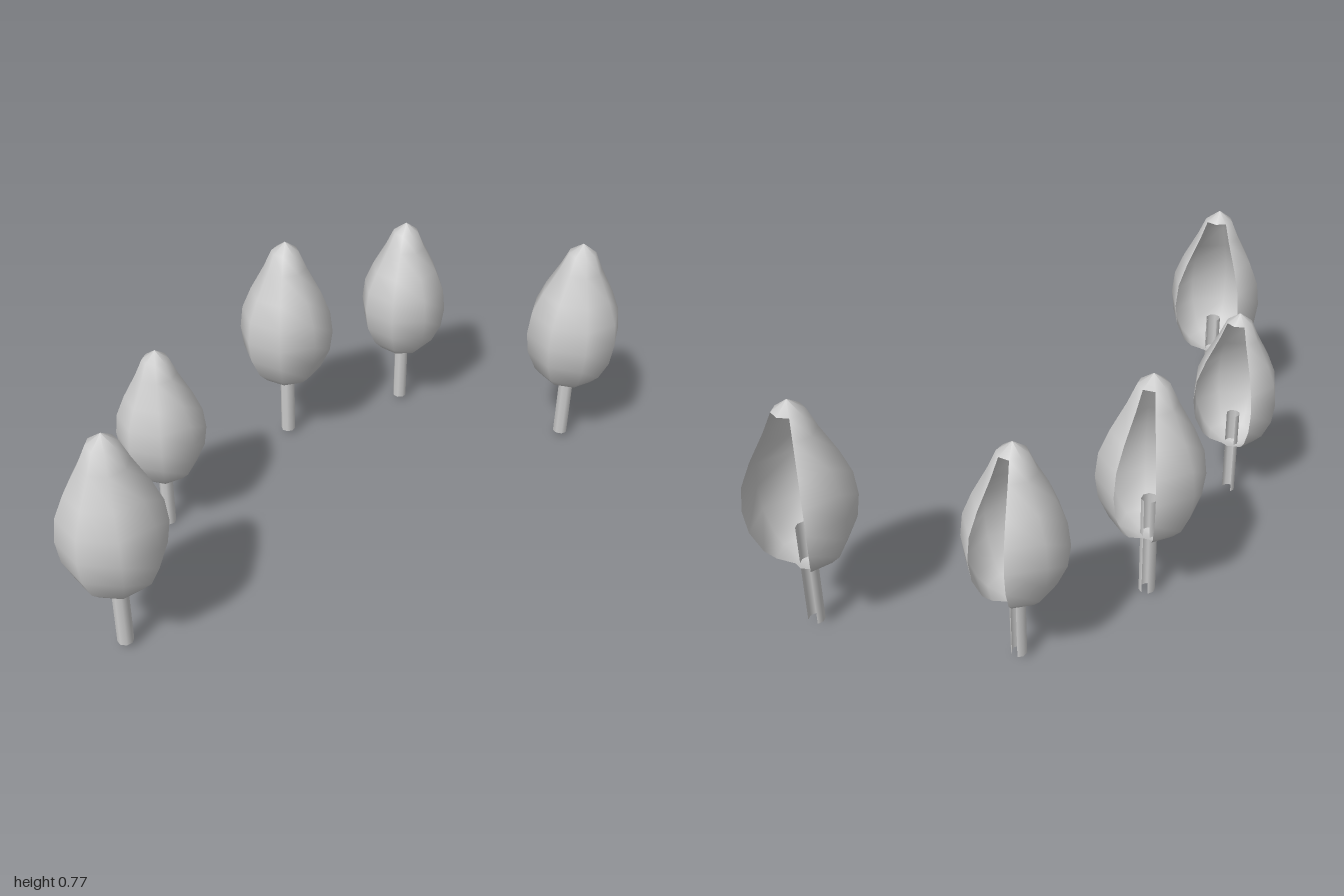
import * as THREE from 'three';

const SIDES = 8;
const STEP = (Math.PI * 2) / SIDES;

// Egg-shaped crown outline [radius, height], from lower pole to tip
const CROWN = [
  [0, 0.208], [0.037, 0.212], [0.087, 0.24], [0.118, 0.272], [0.15, 0.342], [0.16, 0.417],
  [0.151, 0.495], [0.12, 0.57], [0.073, 0.658], [0.046, 0.718], [0, 0.752],
].map(([r, y]) => new THREE.Vector2(r, y));

const material = new THREE.MeshStandardMaterial({ color: 0xcccccc, side: THREE.DoubleSide });

// Eight-sided crown; the last `gap` sides are left out between the two pole caps
function crownGeometry(start, gap) {
  const geo = new THREE.LatheGeometry(CROWN, SIDES, start, Math.PI * 2);
  const rows = CROWN.length - 1;
  const all = Array.from(geo.index.array);
  geo.setIndex(all.filter((_, k) => {
    const quad = Math.floor(k / 6);
    const side = Math.floor(quad / rows), row = quad % rows;
    return side < SIDES - gap || row === 0 || row === rows - 1;
  }));
  return geo;
}

// Hollow trunk, open along the back like the crown, reaching up inside it
function trunkGeometry(start, gap) {
  const sides = SIDES - gap;
  const geo = new THREE.CylinderGeometry(0.025, 0.025, 0.335, sides, 1, true, start, sides * STEP);
  return geo.translate(0, 0.1675, 0);
}

function makeTree({ x, y, z, size, startDeg, gap }) {
  const start = THREE.MathUtils.degToRad(startDeg);
  const tree = new THREE.Group();
  const crown = new THREE.Mesh(crownGeometry(start, gap), material);
  crown.name = 'crown';
  const trunk = new THREE.Mesh(trunkGeometry(start, gap), material);
  trunk.name = 'trunk';
  tree.add(crown, trunk);
  tree.position.set(x, y, z);
  tree.scale.setScalar(size);
  return tree;
}

export function createModel() {
  const model = new THREE.Group();
  model.name = 'treeRow';
  // Position, size, direction of the first side and number of open back sides
  const trees = [
    { x: 0.386, y: 0.018, z: -0.886, size: 1, startDeg: -135, gap: 2 },
    { x: -0.205, y: 0.018, z: -0.713, size: 0.947, startDeg: -159, gap: 1 },
    { x: -0.392, y: 0.018, z: -0.284, size: 1, startDeg: -148, gap: 1 },
    { x: -0.377, y: 0, z: 0.35, size: 0.885, startDeg: -135, gap: 2 },
    { x: -0.077, y: 0.018, z: 0.841, size: 1, startDeg: -125, gap: 2 },
  ];
  trees.forEach((spec, i) => {
    const tree = makeTree(spec);
    tree.name = `tree${i + 1}`;
    model.add(tree);
  });
  return model;
}
